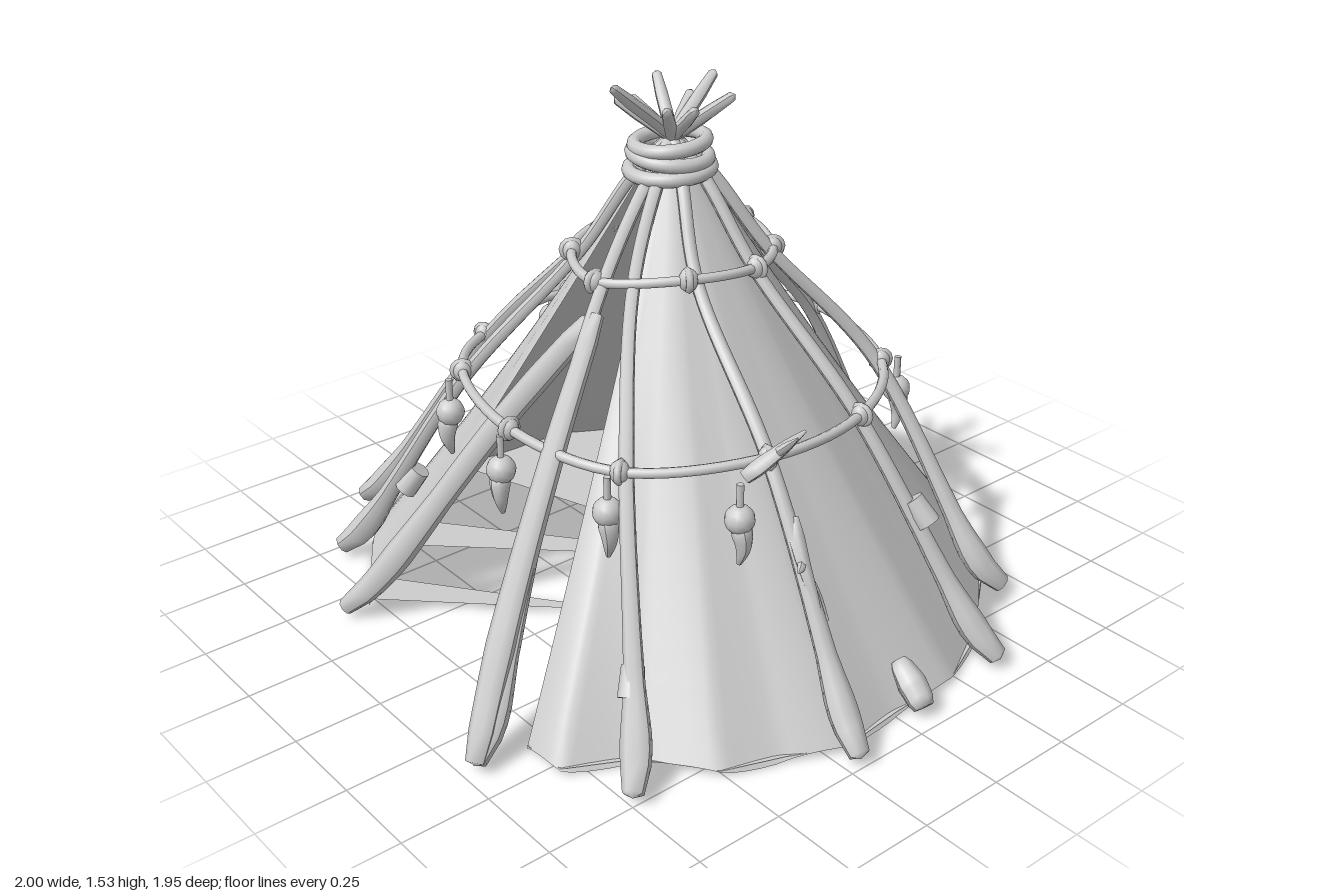
import * as THREE from 'three';

const grey = new THREE.MeshStandardMaterial({ color: 0xcccccc, side: THREE.DoubleSide });
grey.name = 'plain grey';

const V = (x, y, z) => new THREE.Vector3(x, y, z);

function add(parent, name, geometry) {
  const mesh = new THREE.Mesh(geometry, grey);
  mesh.name = name;
  parent.add(mesh);
  return mesh;
}

// Tube whose radius follows a list of evenly spaced values; both ends are blunt and closed
function limb(points, radii, segments = 24, sides = 8) {
  const curve = new THREE.CatmullRomCurve3(points);
  const geo = new THREE.TubeGeometry(curve, segments, 1, sides);
  const pos = geo.attributes.position;
  const p = V(0, 0, 0), q = V(0, 0, 0), v = V(0, 0, 0);
  for (let i = 0; i <= segments; i++) {
    const e = Math.min(i, segments - i);
    const near = e < 2 ? e * 0.006 : e / segments;
    const u = i < segments / 2 ? near : 1 - near;
    const f = u * (radii.length - 1);
    const k = Math.min(Math.floor(f), radii.length - 2);
    const r = THREE.MathUtils.lerp(radii[k], radii[k + 1], f - k) * (e === 0 ? 0.01 : e === 1 ? 0.8 : 1);
    curve.getPointAt(i / segments, p);
    curve.getPointAt(u, q);
    for (let j = 0; j <= sides; j++) {
      const n = i * (sides + 1) + j;
      v.fromBufferAttribute(pos, n).sub(p).multiplyScalar(r).add(q);
      pos.setXYZ(n, v.x, v.y, v.z);
    }
  }
  geo.computeVertexNormals();
  return geo;
}

// Ground outline of the cover, from one side of the doorway round to the other
const hem = [
  [0.41, 0.82], [0.54, 0.81], [0.63, 0.64], [0.8, 0.51], [0.86, 0.35], [0.93, 0.2], [0.91, 0], [0.9, -0.22],
  [0.82, -0.4], [0.72, -0.53], [0.56, -0.73], [0.33, -0.87], [0.14, -0.88], [-0.02, -0.89], [-0.24, -0.9],
  [-0.34, -0.82], [-0.54, -0.76], [-0.57, -0.65], [-0.8, -0.42], [-0.87, -0.28], [-0.9, -0.1], [-0.92, 0.14],
  [-0.88, 0.39], [-0.8, 0.5], [-0.68, 0.61], [-0.54, 0.7], [-0.4, 0.79],
];

function coverGeometry() {
  const curve = new THREE.CatmullRomCurve3(hem.map(([x, z]) => V(x, 0, z)), false, 'catmullrom', 0.2);
  const cols = 130, rows = 16, pos = [], index = [];
  for (let i = 0; i <= cols; i++) {
    const p = curve.getPoint(i / cols), R = Math.hypot(p.x, p.z);
    for (let j = 0; j <= rows; j++) {
      const t = j / rows;
      const round = THREE.MathUtils.lerp(R, 0.9, Math.min(1, t * 1.5));
      const s = (round * (1 - t) + 0.08 * t - 0.012 * Math.sin(Math.PI * t)) / R;
      const y = 0.02 + 1.25 * t + 0.01 * Math.sin(i * 0.6) * (1 - t);
      pos.push(p.x * s, y, p.z * s);
      if (i < cols && j < rows) {
        const a = i * (rows + 1) + j, b = a + rows + 1;
        index.push(a, b, a + 1, b, b + 1, a + 1);
      }
    }
  }
  const geo = new THREE.BufferGeometry();
  geo.setAttribute('position', new THREE.Float32BufferAttribute(pos, 3));
  geo.setIndex(index);
  geo.computeVertexNormals();
  return geo;
}

// Flat ground sheet given by its x, z outline
function sheet(parent, name, outline) {
  const geo = new THREE.ShapeGeometry(new THREE.Shape(outline.map(([x, z]) => new THREE.Vector2(x, -z))));
  geo.rotateX(-Math.PI / 2);
  add(parent, name, geo).position.y = 0.028;
}

// Each pole: foot x, z; point at the lower rope x, z; point at the upper rope x, z; tip height
const poles = [
  [-0.06, -0.93, -0.03, -0.56, -0.02, -0.25, 1.54],
  [-0.71, -0.65, -0.35, -0.46, -0.19, -0.19, 1.48],
  [-0.95, -0.34, -0.56, -0.18, -0.24, -0.08, 1.48],
  [-0.92, 0.47, -0.51, 0.26, -0.23, 0.1, 1.5],
  [-0.7, 0.68, -0.33, 0.46, -0.15, 0.2, 1.45],
  [0.39, 0.95, 0.18, 0.54, 0.05, 0.27, 1.5],
  [0.73, 0.73, 0.36, 0.45, 0.12, 0.23, 1.45],
  [0.97, 0.21, 0.57, 0.16, 0.22, 0.1, 1.49],
  [0.91, -0.37, 0.53, -0.19, 0.24, -0.08, 1.45],
  [0.68, -0.65, 0.32, -0.47, 0.15, -0.21, 1.47],
];

// Rope ring with knots at the given x, z points
function ropeRing(group, name, knots, y, r) {
  const pts = knots.map(([x, z], i) => V(x, y + 0.012 * Math.sin(i * 2.1), z));
  add(group, name, new THREE.TubeGeometry(new THREE.CatmullRomCurve3(pts, true), 80, r, 8, true));
  pts.forEach((p) => {
    const knot = new THREE.Group();
    knot.name = name + 'Knot';
    knot.position.copy(p);
    knot.rotation.y = Math.atan2(p.x, p.z);
    add(knot, 'knotBall', new THREE.SphereGeometry(0.027, 10, 8)).scale.y = 1.2;
    const loop = add(knot, 'knotLoop', new THREE.TorusGeometry(0.025, 0.011, 6, 12));
    loop.rotation.set(0.5, Math.PI / 2, 0);
    group.add(knot);
  });
}

// Small hanging skull charm with a beak and a cord
function charm(group, x, z) {
  const g = new THREE.Group();
  g.name = 'hangingCharm';
  g.position.set(x, 0.67, z);
  g.rotation.y = Math.atan2(x, z);
  add(g, 'charmCord', new THREE.CylinderGeometry(0.01, 0.01, 0.08, 6)).position.y = -0.03;
  add(g, 'charmHead', new THREE.SphereGeometry(0.04, 12, 10)).position.y = -0.09;
  add(g, 'charmBeak', limb([V(0, -0.1, 0.005), V(0.008, -0.16, 0.012), V(0, -0.22, 0)], [0.034, 0.022, 0.008], 8));
  group.add(g);
}

// Forked antler twig; direction given by its two end points
function antler(group, a, b) {
  const g = new THREE.Group();
  g.name = 'antlerTwig';
  const d = b.clone().sub(a), side = V(-d.z, d.length() * 0.7, d.x).normalize().multiplyScalar(0.055);
  const at = (t, s) => a.clone().addScaledVector(d, t).addScaledVector(side, s);
  add(g, 'twigStem', limb([a, at(0.5, 0.3), b], [0.024, 0.022, 0.016, 0.005], 10, 6));
  add(g, 'twigProng', limb([at(0.45, 0.2), at(0.6, 0.8), at(0.7, 1.3)], [0.015, 0.012, 0.004], 8, 6));
  add(g, 'twigProng', limb([at(0.6, 0.2), at(0.75, -0.4), at(0.95, -0.8)], [0.014, 0.011, 0.004], 8, 6));
  group.add(g);
}

export function createModel() {
  const model = new THREE.Group();
  model.name = 'hideTent';

  // Cloth cover with an open doorway
  add(model, 'cover', coverGeometry());

  // Ground cloth, open on one side of the door, with loose strips across the gap
  sheet(model, 'groundCloth', [...hem.slice(0, 12), [0.12, -0.22], ...hem.slice(12, 22), [0.1, -0.2], [0.41, -0.03]]);
  sheet(model, 'groundStrip', [[-0.8, 0.5], [-0.68, 0.61], [0.1, -0.2]]);
  sheet(model, 'groundStrip', [[-0.52, 0.7], [-0.42, 0.77], [0.1, 0.24]]);

  // Long poles with swollen feet, crossing at the top
  for (const [fx, fz, mx, mz, ux, uz, top] of poles) {
    const R = Math.hypot(ux, uz), dx = ux / R, dz = uz / R;
    const out = 1 + 0.025 / Math.hypot(fx, fz), tip = -(top - 1.3) * 0.9;
    add(model, 'pole', limb([
      V(fx * out, 0.035, fz * out), V(fx * 0.95, 0.1, fz * 0.95), V(mx, 0.69, mz), V(ux, 1.04, uz),
      V(dx * 0.075, 1.29, dz * 0.075), V(dx * tip, top, dz * tip),
    ], [0.034, 0.042, 0.028, 0.024, 0.022, 0.021, 0.02, 0.02, 0.019, 0.018, 0.018, 0.018, 0.018, 0.018, 0.017], 48));
  }

  // Thick prop leaning across the doorway and the thicker lower half of its partner
  add(model, 'doorProp', limb([V(-0.42, 0.035, 0.86), V(-0.36, 0.12, 0.79), V(-0.13, 0.62, 0.5), V(0.05, 0.94, 0.32)],
    [0.03, 0.042, 0.034, 0.034, 0.035, 0.03], 28));
  add(model, 'doorPost', limb([V(0.4, 0.035, 0.97), V(0.3, 0.3, 0.8), V(0.18, 0.69, 0.54), V(0.08, 0.97, 0.32)],
    [0.034, 0.04, 0.034, 0.03, 0.024], 28));

  // Short stakes poking out under the hem
  add(model, 'stake', limb([V(-0.98, 0.035, 0.01), V(-0.88, 0.13, -0.04), V(-0.75, 0.28, -0.1)], [0.03, 0.042, 0.034, 0.025], 16));
  add(model, 'stake', limb([V(0.95, 0.035, -0.06), V(0.91, 0.07, -0.065), V(0.84, 0.12, -0.07)], [0.034, 0.04, 0.028], 14));

  // Rope rings tied round the poles
  const lower = [[-0.34, -0.48], [-0.03, -0.58], [0.33, -0.49], [0.55, -0.19], [0.58, 0.17], [0.37, 0.48],
    [0.02, 0.57], [-0.33, 0.48], [-0.53, 0.27], [-0.6, -0.08]];
  const upper = [[-0.2, -0.21], [-0.02, -0.28], [0.15, -0.23], [0.25, -0.08], [0.22, 0.13], [0.03, 0.29],
    [-0.16, 0.22], [-0.25, 0.02]];
  ropeRing(model, 'lowerRope', lower, 0.69, 0.014);
  ropeRing(model, 'upperRope', upper, 1.045, 0.014);

  // Binding wrapped round the crossing
  [[1.272, 0.11, 0.03], [1.31, 0.102, -0.06], [1.345, 0.096, 0.06]].forEach(([y, r, tilt]) => {
    const ring = add(model, 'topBinding', new THREE.TorusGeometry(r, 0.02, 10, 36));
    ring.position.set(-0.01, y, 0);
    ring.rotation.set(Math.PI / 2 + tilt, tilt, 0);
  });

  // Charms hanging from the lower rope
  [[0.02, 0.6], [0.37, 0.52], [0.61, 0.29], [-0.34, 0.52], [-0.68, -0.08], [0.35, -0.54]]
    .forEach(([x, z]) => charm(model, x, z));

  // Antler twigs tied to ropes and poles
  [
    [V(0.58, 0.67, 0.25), V(0.63, 0.77, 0.09)],
    [V(-0.62, 0.69, 0), V(-0.67, 0.74, -0.32)],
    [V(-0.22, 1.02, -0.22), V(-0.42, 0.96, -0.32)],
    [V(-0.36, 0.62, -0.5), V(-0.43, 0.36, -0.66)],
    [V(-0.23, 1.06, -0.06), V(-0.25, 1.14, -0.12)],
    [V(0.66, 0.56, 0.16), V(0.8, 0.34, 0.18)],
    [V(-0.72, 0.42, -0.24), V(-0.86, 0.26, -0.25)],
  ].forEach(([a, b]) => antler(model, a, b));

  // Wraps part-way down some poles
  [[0.6, 0.24, 0.63], [0.7, 0.43, -0.28], [-0.5, 0.31, 0.56]].forEach(([x, y, z]) => {
    const wrap = add(model, 'poleWrap', new THREE.CylinderGeometry(0.03, 0.034, 0.08, 10));
    wrap.position.set(x, y, z);
    wrap.quaternion.setFromUnitVectors(V(0, 1, 0), V(-x, 1.35 - y, -z).normalize());
  });

  return model;
}
